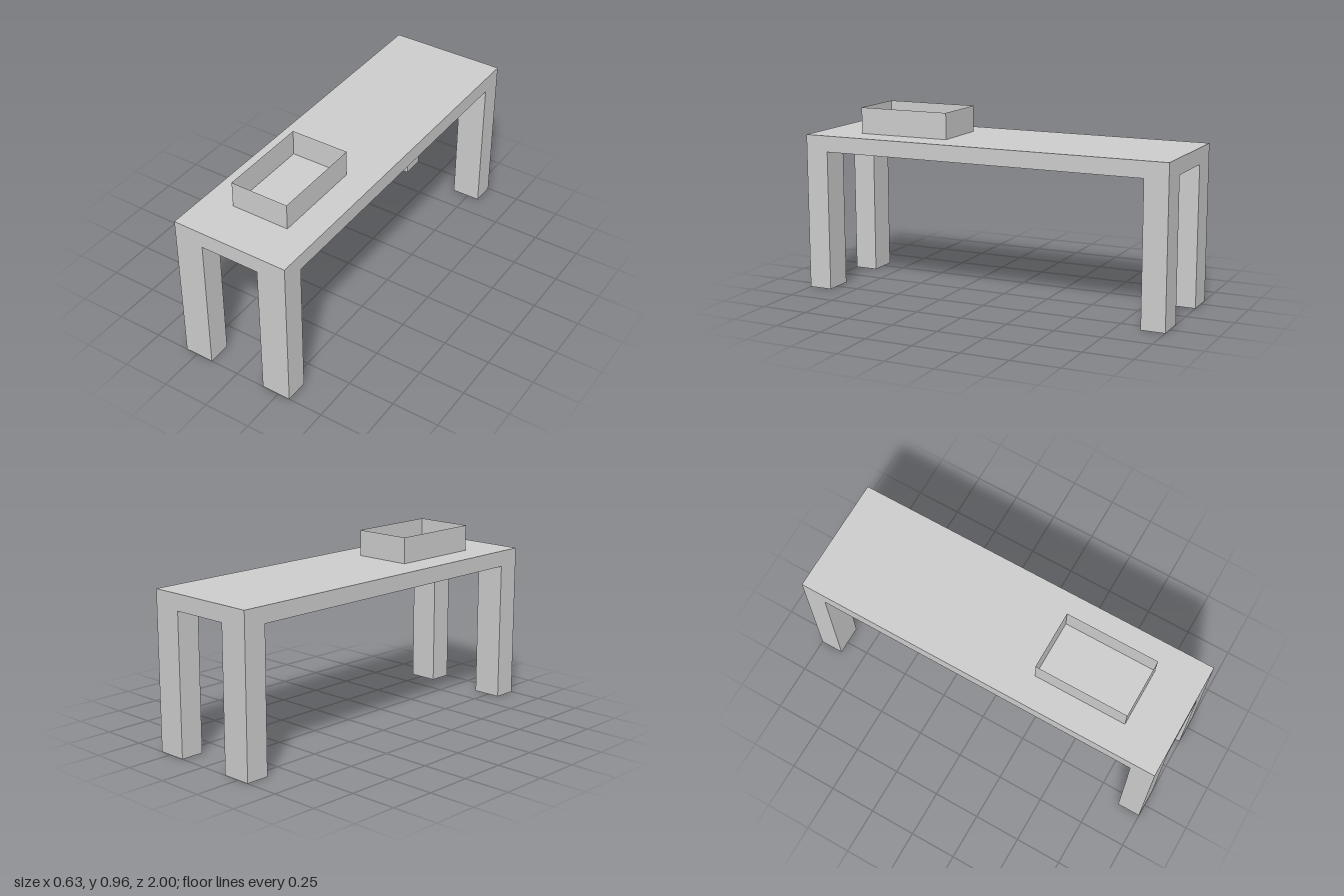
import * as THREE from 'three';

export function createModel() {
  const model = new THREE.Group();
  const solid = new THREE.MeshStandardMaterial({ color: 0xcccccc, flatShading: true });
  const thin = new THREE.MeshStandardMaterial({ color: 0xcccccc, flatShading: true, side: THREE.DoubleSide });

  const add = (parent, name, geometry, material, x, y, z) => {
    const mesh = new THREE.Mesh(geometry, material);
    mesh.name = name;
    mesh.position.set(x, y, z);
    parent.add(mesh);
    return mesh;
  };

  const width = 0.63, length = 2;
  const topY = 0.827, underY = 0.742;
  const legW = 0.157, legD = 0.125;

  // Table top
  add(model, 'tableTop', new THREE.BoxGeometry(width, topY - underY, length), solid, 0, (topY + underY) / 2, 0);

  // Four legs flush with the corners
  const legGeometry = new THREE.BoxGeometry(legW, underY, legD);
  for (const [side, sx] of [['Left', 1], ['Right', -1]]) {
    for (const [end, sz] of [['front', 1], ['back', -1]]) {
      add(model, `${end}${side}Leg`, legGeometry, solid,
        sx * (width - legW) / 2, underY / 2, sz * (length - legD) / 2);
    }
  }

  // Open tray with thin walls, standing near the front end
  const trayW = 0.315, trayL = 0.5, trayH = 0.138;
  const tray = new THREE.Group();
  tray.name = 'tray';
  tray.position.set(0, topY, 0.505);
  model.add(tray);
  for (const s of [1, -1]) {
    const endWall = add(tray, s > 0 ? 'trayFrontWall' : 'trayBackWall',
      new THREE.PlaneGeometry(trayW, trayH), thin, 0, trayH / 2, s * trayL / 2);
    endWall.rotation.y = s > 0 ? 0 : Math.PI;
    const sideWall = add(tray, s > 0 ? 'trayLeftWall' : 'trayRightWall',
      new THREE.PlaneGeometry(trayL, trayH), thin, s * trayW / 2, trayH / 2, 0);
    sideWall.rotation.y = s * Math.PI / 2;
  }

  return model;
}
